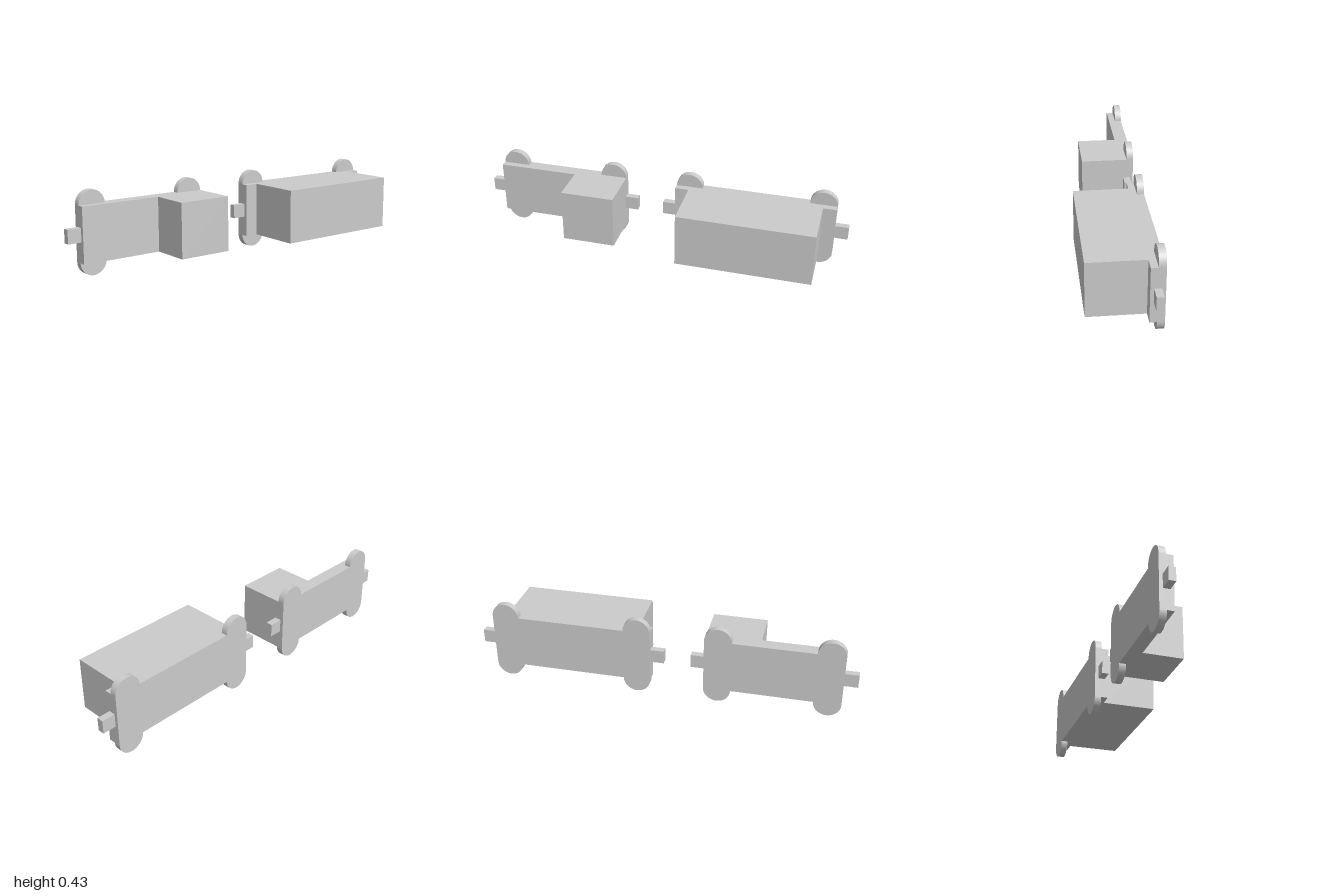
import * as THREE from 'three';

const material = new THREE.MeshStandardMaterial({ color: 0xcccccc });

const BACK = -0.1786;               // back face of both wagons
const PLATE_FRONT = -0.1071;        // front face of the chassis plates
const BOTTOM = 0.0714, TOP = 0.3571; // lower and upper edges of the bodies
const R = 0.0714;                   // wheel radius
const WHEEL_DEPTH = 0.0357;

// Box given by its extents on each axis
function block(name, [x0, x1], [y0, y1], [z0, z1]) {
  const mesh = new THREE.Mesh(new THREE.BoxGeometry(x1 - x0, y1 - y0, z1 - z0), material);
  mesh.position.set((x0 + x1) / 2, (y0 + y1) / 2, (z0 + z1) / 2);
  mesh.name = name;
  return mesh;
}

// Half disc standing out of the upper or lower edge of the plate
function halfWheel(name, x, upper) {
  const start = upper ? Math.PI / 2 : -Math.PI / 2;
  const geometry = new THREE.CylinderGeometry(R, R, WHEEL_DEPTH, 32, 1, false, start, Math.PI);
  geometry.rotateX(Math.PI / 2);
  const mesh = new THREE.Mesh(geometry, material);
  mesh.position.set(x, upper ? TOP : BOTTOM, BACK + WHEEL_DEPTH / 2);
  mesh.name = name;
  return mesh;
}

// Chassis plate with four half wheels, a coupler at each end and a body in front
function wagon(name, x0, x1, bodyName, bodyX, bodyFront) {
  const group = new THREE.Group();
  group.name = name;
  group.add(block('chassisPlate', [x0, x1], [BOTTOM, TOP], [BACK, PLATE_FRONT]));
  group.add(block(bodyName, bodyX, [BOTTOM, TOP], [PLATE_FRONT, bodyFront]));
  for (const [side, x, end] of [['right', x0 + R, x0 - R], ['left', x1 - R, x1]]) {
    group.add(halfWheel(side + 'UpperWheel', x, true));
    group.add(halfWheel(side + 'LowerWheel', x, false));
    group.add(block(side + 'Coupler', [end, end + R], [0.1786, 0.25], [-0.1607, -0.125]));
  }
  return group;
}

export function createModel() {
  const model = new THREE.Group();
  model.name = 'wagonPair';
  model.add(wagon('shortWagon', -0.9286, -0.2143, 'cab', [-0.5, -0.2143], 0.1036));
  model.add(wagon('longWagon', 0.0714, 0.9286, 'cargoBox', [0.1429, 0.8571], 0.1786));
  return model;
}
